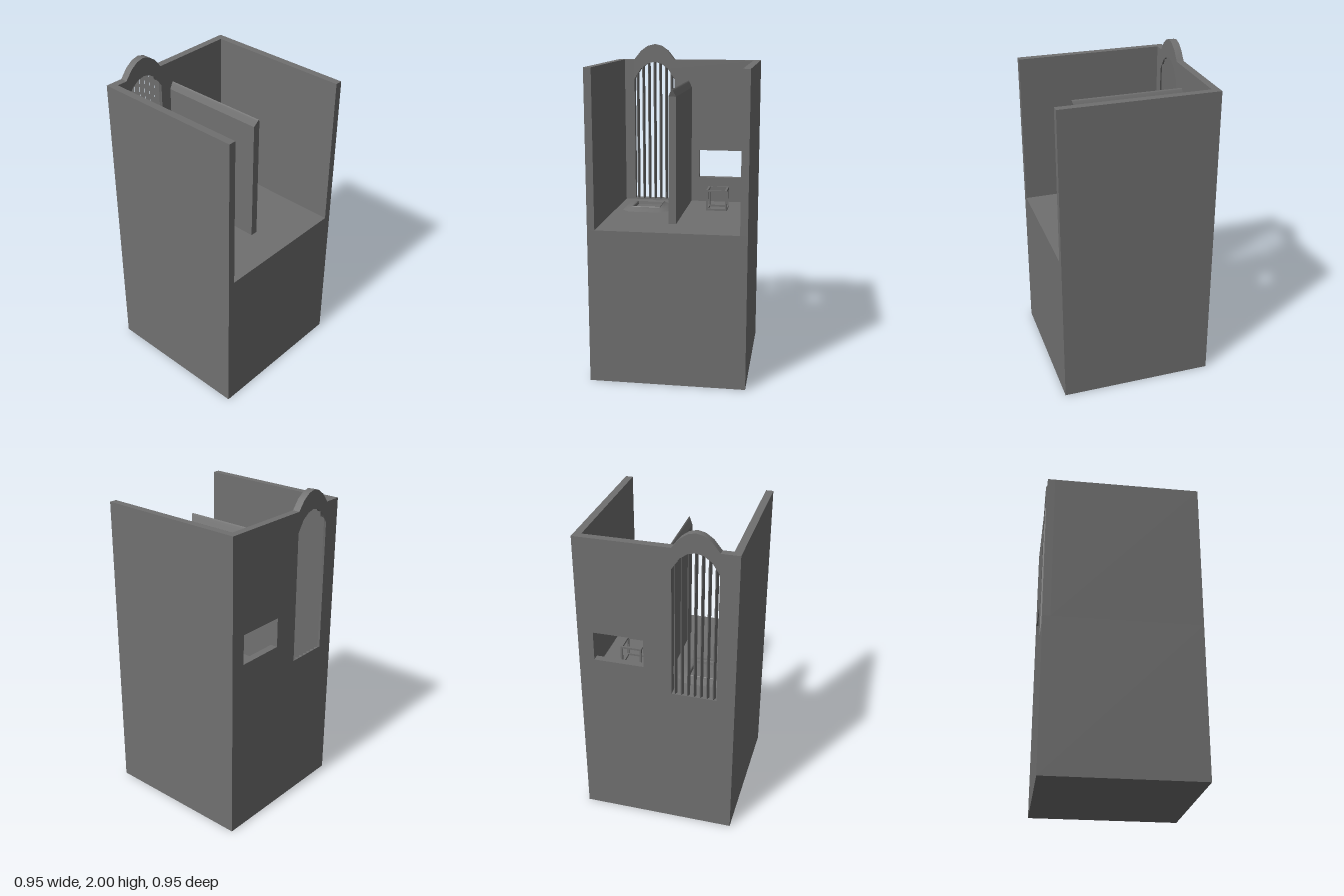
import * as THREE from 'three';
import { toCreasedNormals } from 'three/addons/utils/BufferGeometryUtils.js';

const mat = new THREE.MeshStandardMaterial({ color: 0x707070 });
const HALF = 0.475, WALL = 0.045, FLOOR = 0.95, TOP = 1.9;
const ARCH_X = -0.23;
// half of the faceted arch: [offset from centre, drop below apex]
const ARCH = [[0.135, 0.112], [0.09, 0.043], [0.045, 0.011], [0, 0]];

function add(parent, name, geometry, x = 0, y = 0, z = 0) {
  const mesh = new THREE.Mesh(geometry, mat);
  mesh.name = name;
  mesh.position.set(x, y, z);
  parent.add(mesh);
  return mesh;
}

// arch points from right to left
function archPoints(apexY) {
  const right = ARCH.map(([dx, dy]) => new THREE.Vector2(ARCH_X + dx, apexY - dy));
  const left = ARCH.slice(0, 3).reverse().map(([dx, dy]) => new THREE.Vector2(ARCH_X - dx, apexY - dy));
  return [...right, ...left];
}

function archHeight(dx, apexY) {
  for (let i = 0; i < ARCH.length - 1; i++) {
    const [x0, d0] = ARCH[i], [x1, d1] = ARCH[i + 1];
    if (dx <= x0 && dx >= x1) return apexY - THREE.MathUtils.lerp(d0, d1, (x0 - dx) / (x0 - x1));
  }
  return apexY;
}

// back wall with arched crest, barred window and small hatch
function backWallGeometry() {
  const crest = archPoints(2.0);
  crest[0].y = crest[crest.length - 1].y = TOP;
  const V = (x, y) => new THREE.Vector2(x, y);
  const shape = new THREE.Shape([V(-HALF, FLOOR), V(HALF, FLOOR), V(HALF, TOP), ...crest, V(-HALF, TOP)]);
  shape.holes.push(new THREE.Path([V(ARCH_X - 0.135, 0.957), V(ARCH_X + 0.135, 0.957), ...archPoints(1.885)]));
  shape.holes.push(new THREE.Path([V(0.075, 1.115), V(0.38, 1.115), V(0.38, 1.3), V(0.075, 1.3)]));
  return toCreasedNormals(new THREE.ExtrudeGeometry(shape, { depth: WALL, bevelEnabled: false }), 0.6);
}

// pointed coping with a softened ridge, its front tip leaning forward
function copingGeometry(w, length) {
  const half = [[w, 0], [0.012, 0.024], [0.006, 0.037], [0.003, 0.0425]];
  const shape = new THREE.Shape([...half, [0, 0.045], ...half.slice().reverse().map(([x, y]) => [-x, y])]
    .map(([x, y]) => new THREE.Vector2(x, y)));
  const geo = new THREE.ExtrudeGeometry(shape, { depth: length, bevelEnabled: false });
  const p = geo.attributes.position;
  for (let i = 0; i < p.count; i++) {
    if (p.getZ(i) > length / 2) p.setZ(i, length + p.getY(i) / 3);
  }
  return toCreasedNormals(geo, 1.2);
}

// low mound around a square basin, from chamfered square loops
function moundGeometry() {
  // [half size, corner chamfer, height]
  const loops = [[0.15, 0.05, 0], [0.12, 0.03, 0.012], [0.093, 0.001, 0.02], [0.09, 0.001, 0.024],
    [0.085, 0.001, 0.02], [0.082, 0.001, 0.001]];
  const pos = [], idx = [];
  for (const [h, c, y] of loops) {
    const k = h - c;
    for (const [x, z] of [[h, -k], [h, k], [k, h], [-k, h], [-h, k], [-h, -k], [-k, -h], [k, -h]]) pos.push(x, y, z);
  }
  for (let r = 0; r < loops.length - 1; r++) {
    for (let i = 0; i < 8; i++) {
      const a = r * 8 + i, b = r * 8 + (i + 1) % 8;
      idx.push(a, a + 8, b, b, a + 8, b + 8);
    }
  }
  const geo = new THREE.BufferGeometry();
  geo.setAttribute('position', new THREE.Float32BufferAttribute(pos, 3));
  geo.setIndex(idx);
  return toCreasedNormals(geo, 0.6);
}

// slender diamond-section bar, deepest along z
function barGeometry(height) {
  const geo = new THREE.CylinderGeometry(0.01, 0.01, height, 4);
  geo.scale(1, 1, 2.1);
  return toCreasedNormals(geo, 0.6);
}

// open cube made of twelve square rails
function makeFrame(size, t) {
  const frame = new THREE.Group();
  frame.name = 'openCubeStool';
  const o = (size - t) / 2;
  for (const a of [-o, o]) {
    for (const b of [-o, o]) {
      add(frame, 'stoolLeg', new THREE.BoxGeometry(t, size, t), a, 0, b);
      add(frame, 'stoolSideRail', new THREE.BoxGeometry(t, t, size - 2 * t), a, b, 0);
      add(frame, 'stoolCrossRail', new THREE.BoxGeometry(size - 2 * t, t, t), 0, a, b);
    }
  }
  return frame;
}

export function createModel() {
  const model = new THREE.Group();
  model.name = 'cellTower';

  // solid base and side walls
  add(model, 'base', new THREE.BoxGeometry(2 * HALF, FLOOR, 2 * HALF), 0, FLOOR / 2, 0);
  for (const s of [-1, 1]) {
    add(model, s > 0 ? 'leftWall' : 'rightWall',
      new THREE.BoxGeometry(WALL, TOP - FLOOR, 2 * HALF - WALL),
      s * (HALF - WALL / 2), (TOP + FLOOR) / 2, WALL / 2);
  }
  add(model, 'backWall', backWallGeometry(), 0, 0, -HALF);

  // window bars, cut to the arch
  const bars = new THREE.Group();
  bars.name = 'windowBars';
  for (let i = -3; i <= 3; i++) {
    const dx = i * 0.0386, top = archHeight(Math.abs(dx), 1.885) + 0.008, bottom = 0.952;
    add(bars, 'windowBar', barGeometry(top - bottom), ARCH_X + dx, (top + bottom) / 2, -HALF + WALL / 2);
  }
  model.add(bars);

  // partition with pointed coping
  const w = 0.0228, length = 0.68, eave = 1.72, back = -HALF + WALL;
  add(model, 'partition', new THREE.BoxGeometry(2 * w, eave - FLOOR, length), 0, (eave + FLOOR) / 2, back + length / 2);
  add(model, 'partitionCoping', copingGeometry(w, length), 0, eave, back);

  // basin and stool on the floor
  add(model, 'basinMound', moundGeometry(), ARCH_X, FLOOR, -0.187);
  const stool = makeFrame(0.134, 0.0125);
  stool.position.set(0.227, FLOOR + 0.072, -0.19);
  model.add(stool);

  return model;
}
